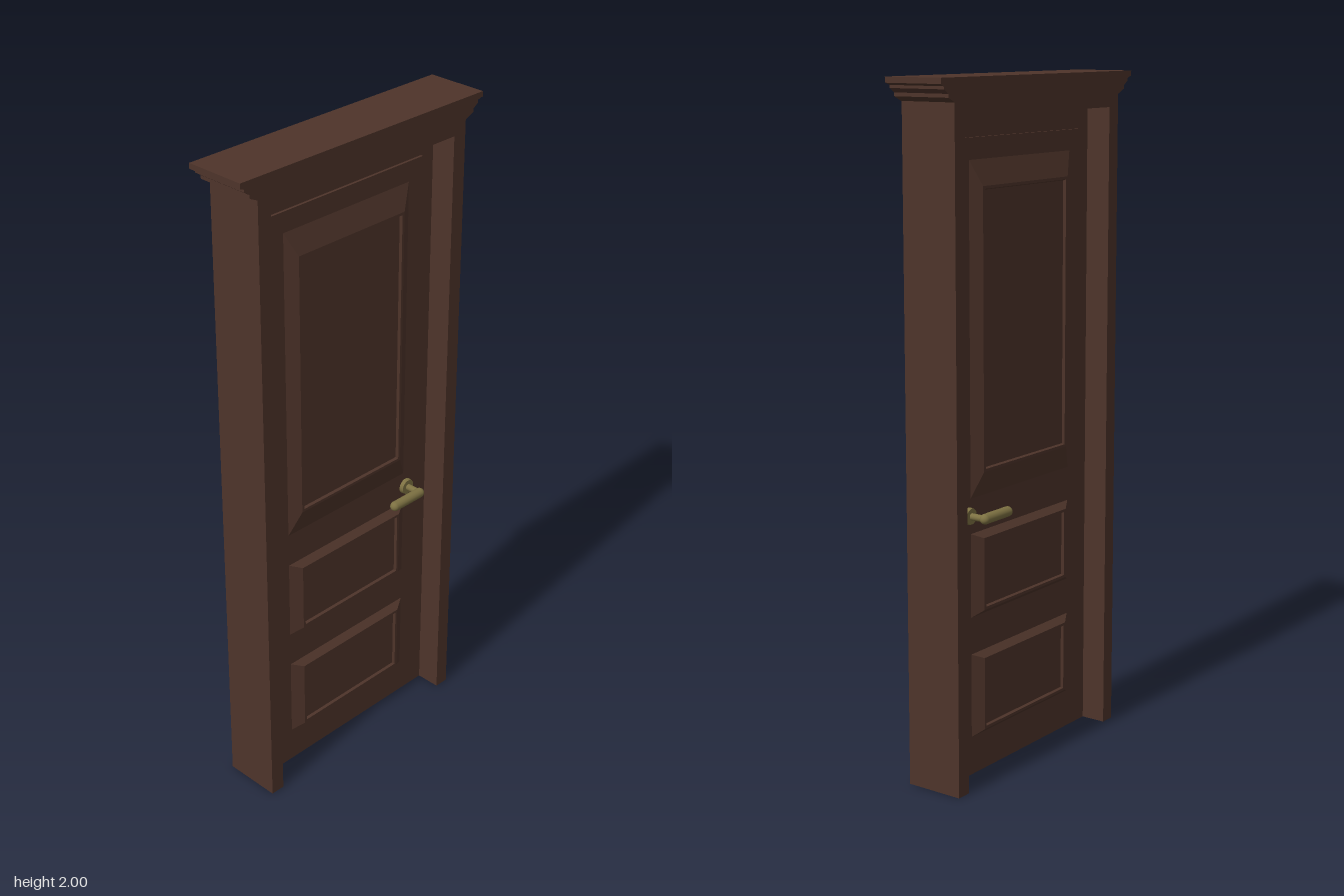
import * as THREE from 'three';

const wood = new THREE.MeshStandardMaterial({ color: 0x4e342a });
const brass = new THREE.MeshStandardMaterial({ color: 0x7d7142 });

function add(parent, name, geometry, material, x = 0, y = 0, z = 0) {
  const mesh = new THREE.Mesh(geometry, material);
  mesh.name = name;
  mesh.position.set(x, y, z);
  parent.add(mesh);
  return mesh;
}

// Nested rectangles [half width, bottom, top, z], joined by flat bands and closed by the last one
function moulding(loops) {
  const rings = loops.map(([w, b, t, z]) => [[-w, b, z], [w, b, z], [w, t, z], [-w, t, z]]);
  const points = [];
  const quad = (a, b, c, d) => points.push(...a, ...b, ...c, ...a, ...c, ...d);
  for (let i = 0; i < rings.length - 1; i++) {
    for (let k = 0; k < 4; k++) {
      const n = (k + 1) % 4;
      quad(rings[i][k], rings[i][n], rings[i + 1][n], rings[i + 1][k]);
    }
  }
  quad(...rings[rings.length - 1]);
  const geometry = new THREE.BufferGeometry();
  geometry.setAttribute('position', new THREE.Float32BufferAttribute(points, 3));
  geometry.computeVertexNormals();
  return geometry;
}

// Raised panel: sloping border, then a slightly sunk field
function panel(bottom, top, rise) {
  const w = 0.24, inset = 0.045, lip = 0.008;
  const b = bottom + rise, t = top - rise;
  return moulding([
    [w, bottom, top, 0.02],
    [w - inset + lip, b - lip, t + lip, 0.04],
    [w - inset, b, t, 0.04],
    [w - inset - 0.003, b + 0.003, t - 0.003, 0.032],
  ]);
}

function handle(side) {
  const group = new THREE.Group();
  group.name = side > 0 ? 'frontHandle' : 'backHandle';
  const rose = add(group, 'rose', new THREE.CylinderGeometry(0.023, 0.025, 0.012, 24), brass, 0.25, 0.782, side * 0.026);
  rose.rotation.x = side * Math.PI / 2;
  const stem = add(group, 'stem', new THREE.CylinderGeometry(0.01, 0.01, 0.05, 16), brass, 0.25, 0.782, side * 0.052);
  stem.rotation.x = Math.PI / 2;
  const lever = add(group, 'lever', new THREE.CapsuleGeometry(0.015, 0.106, 6, 16), brass, 0.197, 0.782, side * 0.078);
  lever.rotation.z = Math.PI / 2;
  return group;
}

export function createModel() {
  const model = new THREE.Group();
  model.name = 'door';

  // Frame: one arch-like board with the opening left out
  const frame = new THREE.Shape([
    [-0.39, 0], [-0.345, 0], [-0.345, 1.897], [0.345, 1.897],
    [0.345, 0], [0.39, 0], [0.39, 1.94], [-0.39, 1.94],
  ].map(([x, y]) => new THREE.Vector2(x, y)));
  add(model, 'frame', new THREE.ExtrudeGeometry(frame, { depth: 0.178, bevelEnabled: false }), wood, 0, 0, -0.089);

  // Cornice: stepped and sloped profile mirrored to both ends
  const half = [[0.39, 1.935], [0.418, 1.948], [0.418, 1.958], [0.436, 1.97], [0.436, 1.978], [0.452, 1.984], [0.452, 2]];
  const outline = [...half, ...half.map(([x, y]) => [-x, y]).reverse()];
  const cornice = new THREE.Shape(outline.map(([x, y]) => new THREE.Vector2(x, y)));
  add(model, 'cornice', new THREE.ExtrudeGeometry(cornice, { depth: 0.182, bevelEnabled: false }), wood, 0, 0, -0.091);
  add(model, 'corniceTop', new THREE.BoxGeometry(0.904, 0.016, 0.188), wood, 0, 1.992, 0);

  // Leaf: thin core with a raised face on both sides
  add(model, 'leafCore', new THREE.BoxGeometry(0.69, 1.897, 0.024), wood, 0, 0.9485, 0);
  add(model, 'leaf', new THREE.BoxGeometry(0.59, 1.775, 0.04), wood, 0, 0.9475, 0);

  // Panels and handles, front and back
  for (const side of [1, -1]) {
    const panels = new THREE.Group();
    panels.name = side > 0 ? 'frontPanels' : 'backPanels';
    if (side < 0) panels.rotation.y = Math.PI;
    add(panels, 'upperPanel', panel(0.83, 1.775, 0.08), wood);
    add(panels, 'middlePanel', panel(0.48, 0.727, 0.025), wood);
    add(panels, 'lowerPanel', panel(0.12, 0.37, 0.025), wood);
    model.add(panels, handle(side));
  }
  return model;
}
